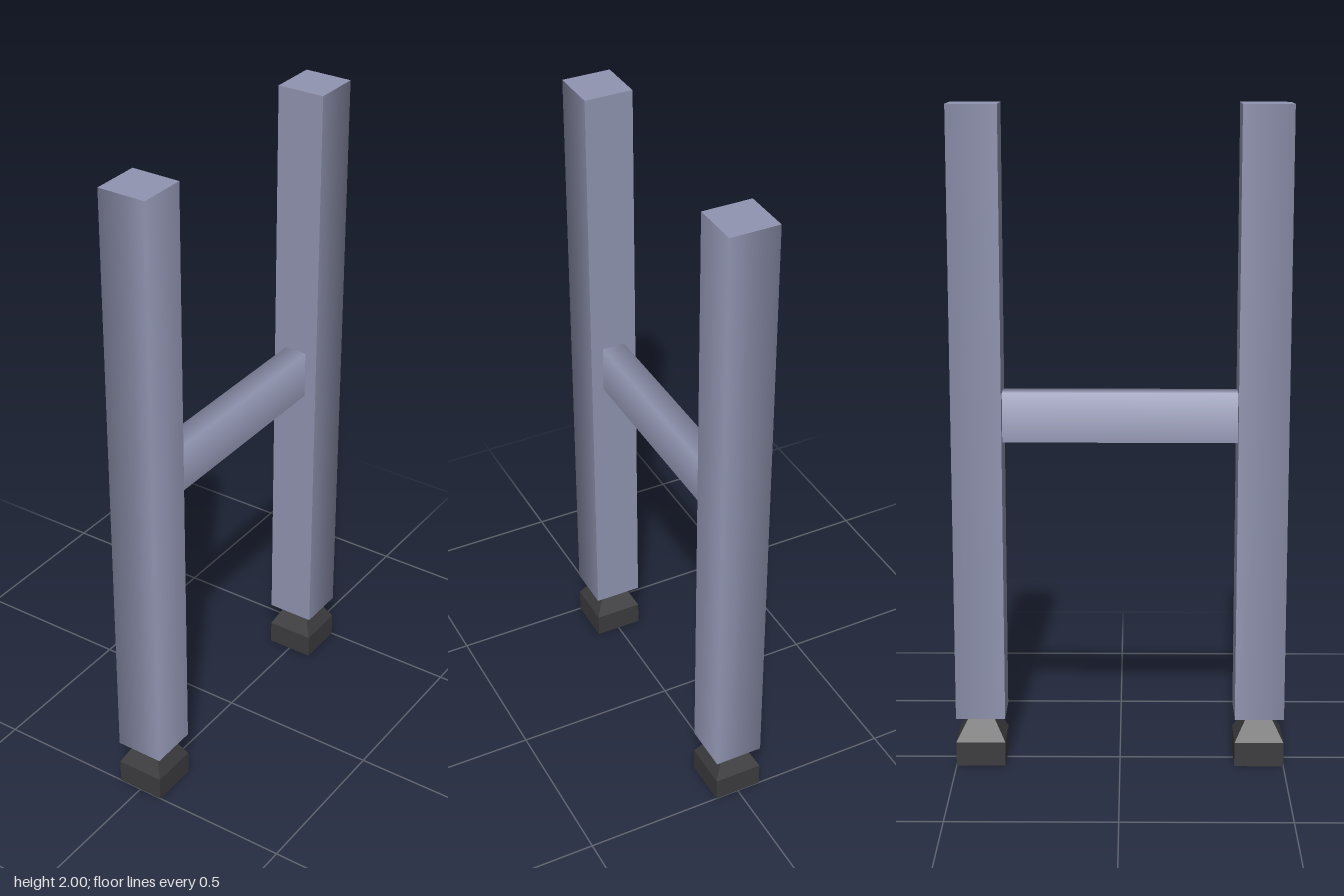
import * as THREE from 'three';

const POST = 0.15, POST_Z = 0.425, FOOT_TOP = 0.15, HEIGHT = 2;

// Box whose two edges between the x faces and the "out" face are shaded softly
function softBox(w, h, d, out) {
  const geo = new THREE.BoxGeometry(w, h, d);
  const pos = geo.attributes.position, nor = geo.attributes.normal;
  const p = new THREE.Vector3(), n = new THREE.Vector3();
  for (let i = 0; i < pos.count; i++) {
    p.fromBufferAttribute(pos, i);
    n.fromBufferAttribute(nor, i);
    const soft = Math.abs(n.x) > 0.5 || n.dot(out) > 0.5;
    if (soft && p.dot(out) > 0) {
      n.set(Math.sign(p.x), 0, 0).add(out).normalize();
      nor.setXYZ(i, n.x, n.y, n.z);
    }
  }
  return geo;
}

// Square foot: straight block below, tapering to a narrow neck
function footGeometry() {
  const profile = [[0, 0], [0.075, 0], [0.075, 0.075], [0.035, FOOT_TOP]]
    .map(([r, y]) => new THREE.Vector2(r * Math.SQRT2, y));
  const geo = new THREE.LatheGeometry(profile, 4).rotateY(Math.PI / 4).toNonIndexed();
  geo.computeVertexNormals();
  return geo;
}

export function createModel() {
  const model = new THREE.Group();
  model.name = 'legFrame';

  const metal = new THREE.MeshStandardMaterial({ color: 0x9094b0 });
  metal.name = 'blueGreyMetal';
  const rubber = new THREE.MeshStandardMaterial({ color: 0x3c3c3f });
  rubber.name = 'darkRubber';

  const add = (name, geo, mat, y, z) => {
    const mesh = new THREE.Mesh(geo, mat);
    mesh.name = name;
    mesh.position.set(0, y, z);
    model.add(mesh);
  };

  // Posts and feet
  const postHeight = HEIGHT - FOOT_TOP;
  for (const [side, s] of [['front', 1], ['back', -1]]) {
    const out = new THREE.Vector3(0, 0, s);
    add(side + 'Post', softBox(POST, postHeight, POST, out), metal, FOOT_TOP + postHeight / 2, s * POST_Z);
    add(side + 'Foot', footGeometry(), rubber, 0, s * POST_Z);
  }

  // Crossbar between the posts
  add('crossbar', softBox(0.072, 0.15, 0.7, new THREE.Vector3(0, 1, 0)), metal, 1.08, 0);

  return model;
}
